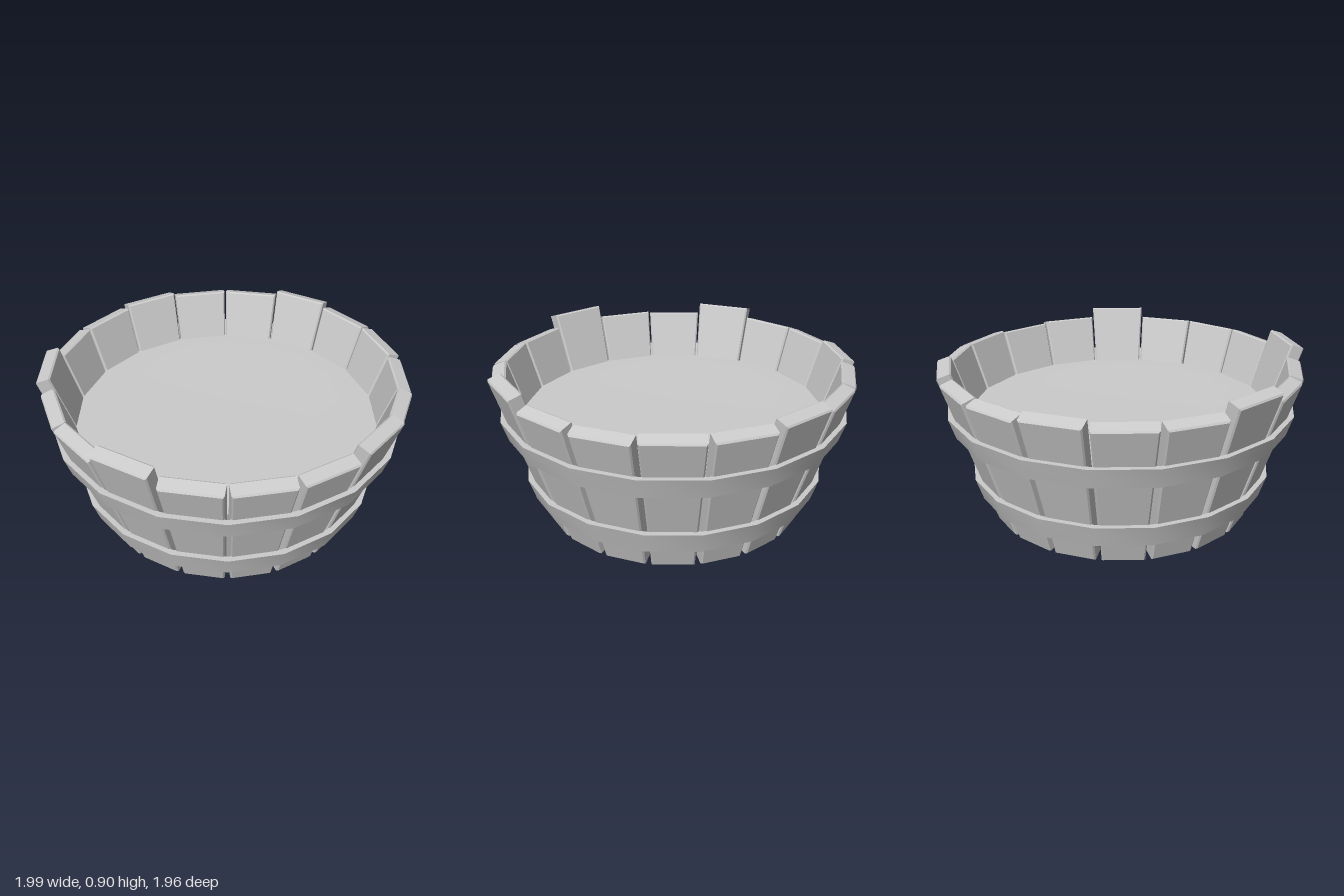
import * as THREE from 'three';
import { toCreasedNormals } from 'three/addons/utils/BufferGeometryUtils.js';

const COUNT = 18;                 // staves around the tub
const STEP = (Math.PI * 2) / COUNT;
const HALF = STEP / 2;
const SLOPE = 0.32;               // outward lean per unit of height
const TILT = Math.atan(SLOPE);
const THICK = 0.08;
const BASE_R = 0.715;             // outer flat-to-centre distance at y = 0

const outerAt = (y) => BASE_R + SLOPE * y;
const innerAt = (y) => outerAt(y) - THICK / Math.cos(TILT);
const corner = (apothem) => apothem / Math.cos(HALF);

// Tapered plank with a fine bevel; inner face on z = 0, thickness towards +z
function staveGeometry(r, length) {
  const b = 0.008;
  const half = (s) => Math.tan(HALF) * (r + s * Math.sin(TILT)) - 0.003;
  const w0 = half(0), w1 = half(length);
  const shape = new THREE.Shape([
    new THREE.Vector2(-w0, 0), new THREE.Vector2(w0, 0),
    new THREE.Vector2(w1, length), new THREE.Vector2(-w1, length),
  ]);
  const geo = new THREE.ExtrudeGeometry(shape, {
    depth: THICK - 2 * b, bevelEnabled: true, bevelSegments: 1,
    bevelSize: b, bevelThickness: b, bevelOffset: -b,
  });
  return geo.translate(0, 0, b);
}

// Many-sided ring whose corners line up with the gaps between staves
function ring(points) {
  return new THREE.LatheGeometry(
    points.map(([r, y]) => new THREE.Vector2(r, y)), COUNT, HALF, Math.PI * 2);
}

export function createModel() {
  const model = new THREE.Group();
  model.name = 'woodenTub';
  const tub = new THREE.Group();
  tub.name = 'tub';
  tub.position.set(-0.008, 0, -0.005);
  model.add(tub);
  const material = new THREE.MeshStandardMaterial({ color: 0xcccccc });

  // Staves: index 0 faces the front, counting towards +x; a few stand taller
  const heights = { 0: 0.84, 1: 0.905, 5: 0.89, 7: 0.825, 10: 0.86, 13: 0.85, 16: 0.89 };
  const bottomY = THICK * Math.sin(TILT);
  const bottomR = BASE_R - THICK * Math.cos(TILT);
  for (let i = 0; i < COUNT; i++) {
    const length = ((heights[i] ?? 0.835) - bottomY) / Math.cos(TILT);
    const plank = new THREE.Mesh(staveGeometry(bottomR, length), material);
    plank.name = 'stavePlank';
    plank.position.set(0, bottomY, bottomR);
    plank.rotation.x = TILT;
    const stave = new THREE.Group();
    stave.name = 'stave' + (i + 1);
    stave.rotation.y = i * STEP;
    stave.add(plank);
    tub.add(stave);
  }

  // Two hoops following the lean of the staves
  for (const [name, y0, y1] of [['lowerHoop', 0.13, 0.25], ['upperHoop', 0.505, 0.615]]) {
    const at = (y, offset) => [corner(outerAt(y) + offset), y];
    const geo = ring([at(y0, -0.006), at(y0, 0.028), at(y1, 0.028), at(y1, -0.006), at(y0, -0.006)]);
    const hoop = new THREE.Mesh(toCreasedNormals(geo, Math.PI / 6), material);
    hoop.name = name;
    tub.add(hoop);
  }

  // Filling with a flat underside and a very slightly dished top
  const low = 0.055, high = 0.57;
  const fillGeo = ring([
    [0, low], [corner(innerAt(low) + 0.01), low],
    [corner(innerAt(high) + 0.01), high], [0.5, high], [0, high - 0.008],
  ]);
  const filling = new THREE.Mesh(toCreasedNormals(fillGeo, Math.PI / 6), material);
  filling.name = 'filling';
  tub.add(filling);

  return model;
}
